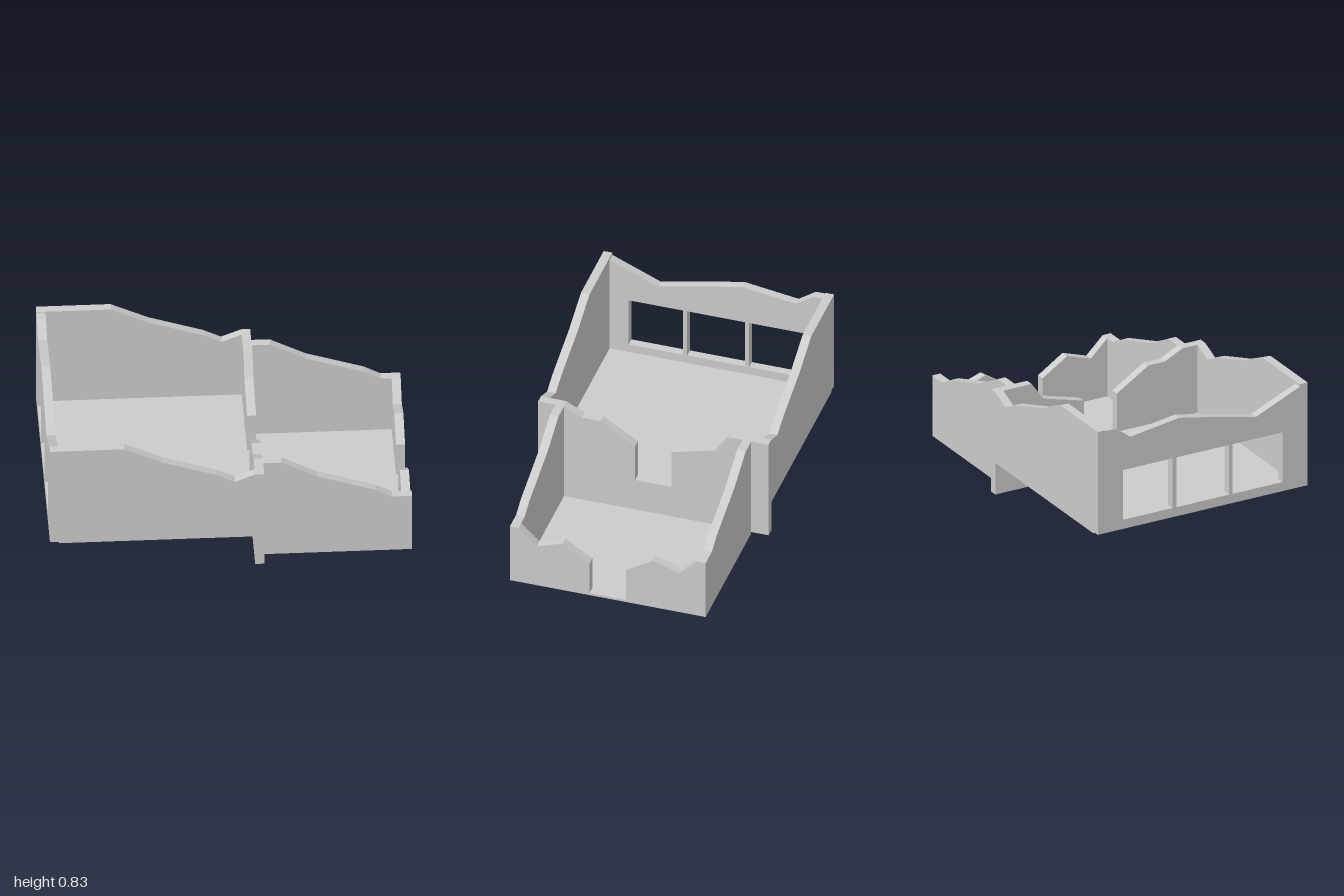
import * as THREE from 'three';

const material = new THREE.MeshStandardMaterial({ color: 0xcccccc, flatShading: true });
const T = 0.05; // wall thickness

function outline(points) {
  return new THREE.Shape(points.map(([a, b]) => new THREE.Vector2(a, b)));
}

function extrude(shape) {
  return new THREE.ExtrudeGeometry(shape, { depth: T, bevelEnabled: false });
}

// Closes a broken top edge down to a flat base
function wallOutline(top, base) {
  return outline([[top[0][0], base], ...top, [top[top.length - 1][0], base]]);
}

export function createModel() {
  const group = new THREE.Group();
  const add = (name, geometry) => {
    const mesh = new THREE.Mesh(geometry, material);
    mesh.name = name;
    group.add(mesh);
  };

  // Wall running along x, mirrored to both sides; zOuter is its outside face
  const sideWalls = (name, top, base, zOuter) => {
    const shape = wallOutline(top, base);
    add(name + 'Left', extrude(shape).translate(0, 0, zOuter - T));
    add(name + 'Right', extrude(shape).translate(0, 0, -zOuter));
  };

  // Wall running along z; shape coordinates are (z, y), xMax is its +x face
  const crossWall = (name, shape, xMax) =>
    add(name, extrude(shape).rotateY(-Math.PI / 2).translate(xMax, 0, 0));

  const floor = (name, x0, x1, y0, halfZ) =>
    add(name, new THREE.BoxGeometry(x1 - x0, 0.015, halfZ * 2)
      .translate((x0 + x1) / 2, y0 + 0.0075, 0));

  // Floors: the large room sits one step higher
  floor('upperFloor', -0.95, 0.13, 0.2, 0.665);
  floor('lowerFloor', 0.18, 1, 0, 0.565);

  // Ruined side walls
  sideWalls('upperSideWall', [
    [-1, 0.83], [-0.59, 0.83], [-0.38, 0.73], [-0.08, 0.63], [0.02, 0.58], [0.13, 0.625],
  ], 0.21, 0.665);
  sideWalls('lowerSideWall', [
    [0.18, 0.625], [0.28, 0.625], [0.48, 0.52], [0.8, 0.415], [0.89, 0.365], [1, 0.365],
  ], 0.007, 0.565);

  // End wall with a row of three windows
  const endWall = wallOutline([
    [-0.615, 0.825], [-0.56, 0.825], [-0.46, 0.755], [-0.15, 0.8],
    [0, 0.77], [0.335, 0.695], [0.615, 0.815],
  ], 0.21);
  for (const [a, b] of [[-0.505, -0.19], [-0.167, 0.167], [0.19, 0.505]]) {
    endWall.holes.push(outline([[a, 0.265], [b, 0.265], [b, 0.565], [a, 0.565]]));
  }
  crossWall('windowWall', endWall, -0.95);

  // Dividing wall with a doorway open to the top
  crossWall('dividingWall', wallOutline([
    [-0.665, 0.625], [-0.435, 0.625], [-0.36, 0.52], [-0.105, 0.45], [-0.105, 0.215],
    [0.105, 0.215], [0.105, 0.445], [0.305, 0.57], [0.41, 0.57], [0.52, 0.625], [0.665, 0.625],
  ], 0.01), 0.18);

  // Entrance wall, one broken stub either side of the gap
  const stub = [[0.105, 0.215], [0.26, 0.315], [0.41, 0.265], [0.515, 0.365]];
  crossWall('entranceWallLeft', wallOutline(stub, 0.007), 1);
  crossWall('entranceWallRight', wallOutline(stub.map(([z, y]) => [-z, y]), 0.007), 1);

  return group;
}
